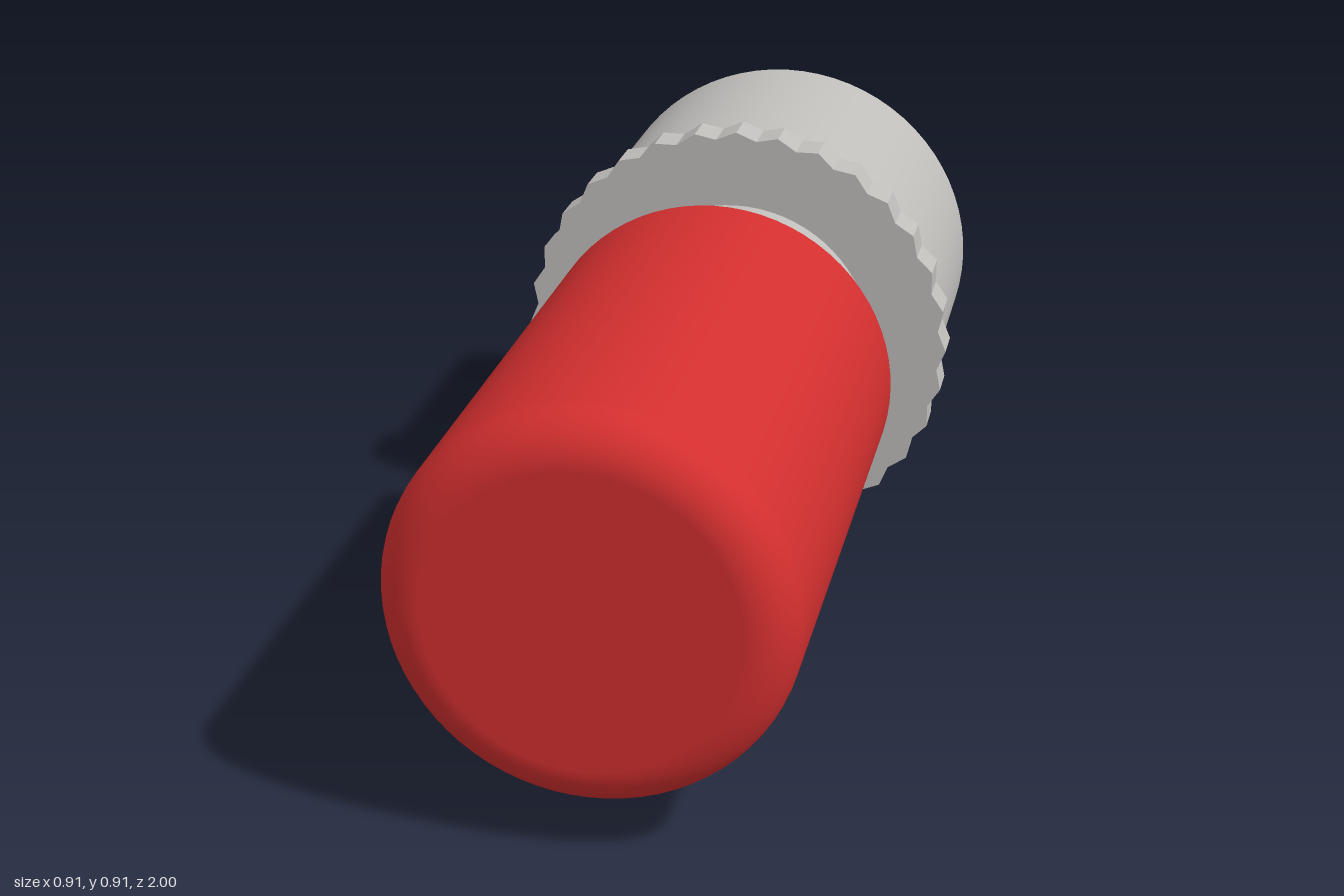
import * as THREE from 'three';

const red = new THREE.MeshStandardMaterial({ name: 'red', color: 0xd32f2f });
const grey = new THREE.MeshStandardMaterial({ name: 'grey', color: 0xc0bebb });
const maroon = new THREE.MeshStandardMaterial({ name: 'maroon', color: 0x83313a });

const CENTRE_Y = 0.457;

// Turned part along z from [radius, z] pairs; corners stay sharp where points are doubled
function turned(name, profile, material, segments = 72) {
  const points = profile.map(([r, z]) => new THREE.Vector2(r, z));
  const geometry = new THREE.LatheGeometry(points, segments).rotateX(Math.PI / 2);
  const mesh = new THREE.Mesh(geometry, material);
  mesh.name = name;
  return mesh;
}

// Doubles every inner point of a profile so each edge is crisp
const crisp = (profile) =>
  profile.flatMap((p, i) => (i === 0 || i === profile.length - 1 ? [p] : [p, p]));

// Prism along z starting at z0
function prism(name, shape, z0, depth, material) {
  const geometry = new THREE.ExtrudeGeometry(shape, { depth, bevelEnabled: false });
  geometry.translate(0, 0, z0);
  const mesh = new THREE.Mesh(geometry, material);
  mesh.name = name;
  return mesh;
}

export function createModel() {
  const model = new THREE.Group();
  model.name = 'knob';
  const body = new THREE.Group();
  body.name = 'knobBody';
  body.position.y = CENTRE_Y;
  model.add(body);

  // Red grip with a rounded front edge
  const R = 0.37, fillet = 0.09;
  const grip = [[0, -0.14], [R, -0.14], [R, -0.14]];
  for (let i = 0; i <= 10; i++) {
    const a = (i / 10) * Math.PI / 2;
    grip.push([R - fillet + fillet * Math.cos(a), 1 - fillet + fillet * Math.sin(a)]);
  }
  grip.push([0, 1]);
  body.add(turned('grip', grip, red));

  // Neck between grip and ring
  body.add(turned('neck', [[0.297, -0.38], [0.297, -0.13]], grey));

  // Toothed ring
  const teeth = 32;
  const ringShape = new THREE.Shape();
  for (let i = 0; i < teeth * 2; i++) {
    const a = (i / teeth) * Math.PI;
    const r = i % 2 ? 0.441 : 0.457;
    if (i === 0) ringShape.moveTo(r, 0);
    else ringShape.lineTo(r * Math.cos(a), r * Math.sin(a));
  }
  ringShape.closePath();
  body.add(prism('toothedRing', ringShape, -0.455, 0.085, grey));

  // Hollow rear sleeve
  body.add(turned('sleeve', crisp([
    [0, -0.46], [0.347, -0.46], [0.347, -1], [0.427, -1], [0.427, -0.45],
  ]), grey));

  // Inner shaft and its dished end plug
  body.add(turned('innerShaft', [[0.265, -0.89], [0.265, -0.45]], grey));
  body.add(turned('endPlug', crisp([
    [0, -0.87], [0.19, -0.87], [0.215, -0.9], [0.265, -0.9], [0.265, -0.889],
  ]), maroon));

  // Raised pointed key on the plug
  const key = new THREE.Shape(
    [[0.05, 0.11], [0.05, -0.1], [-0.045, -0.1], [-0.13, 0.04], [-0.045, 0.115]]
      .map(([x, y]) => new THREE.Vector2(x, y)));
  body.add(prism('plugKey', key, -0.9, 0.035, maroon));

  return model;
}
